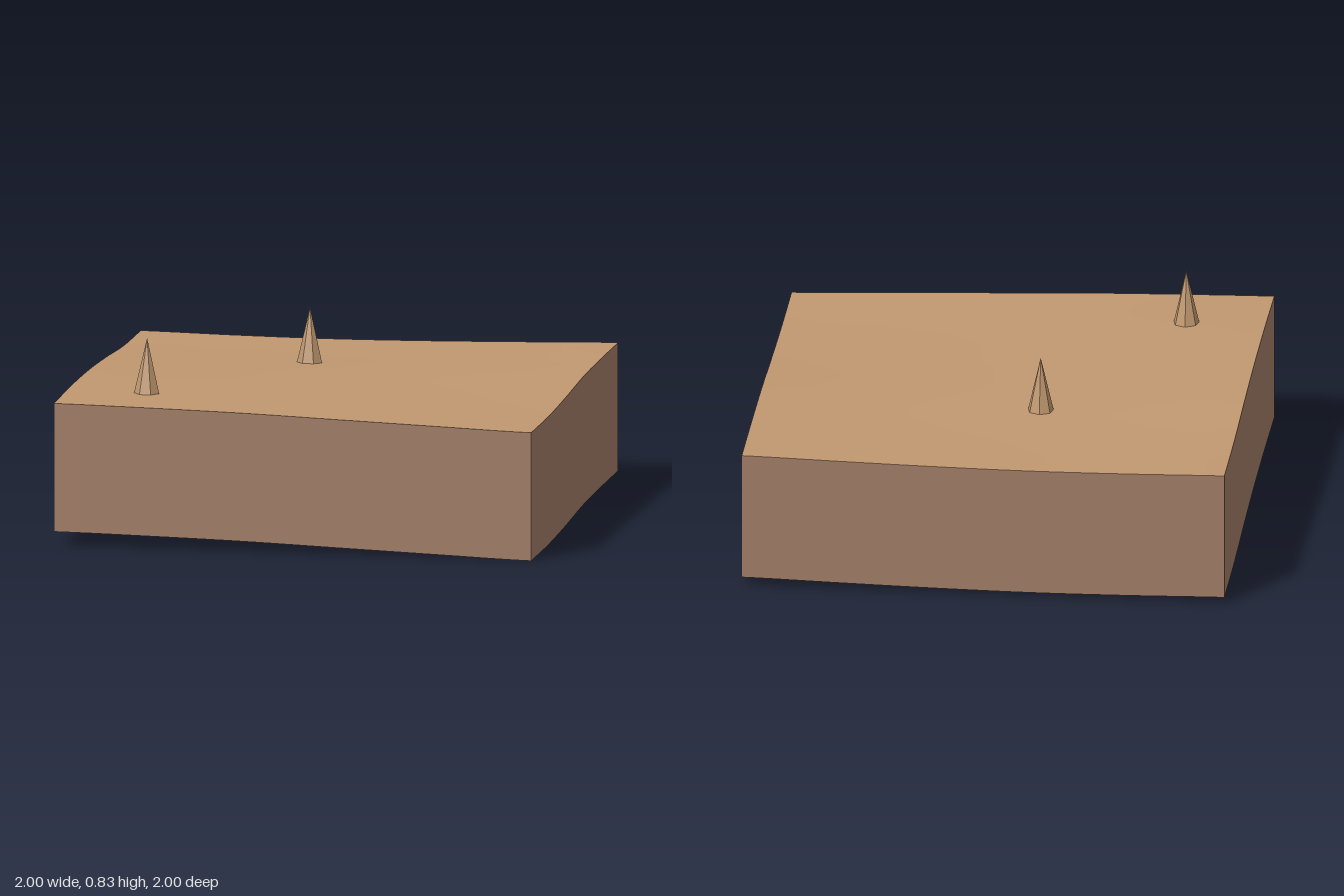
import * as THREE from 'three';

const WALL = 0.536; // wall height, the lower rim follows the upper one

// Heights of the four rims at even steps, from -1 to 1
const spline = (...h) => {
  const curve = new THREE.SplineCurve(h.map((y, i) => new THREE.Vector2(i, y)));
  return (s) => curve.getPoint(THREE.MathUtils.clamp((s + 1) / 2, 0, 1)).y;
};
const rim = {
  front: spline(0.597, 0.59, 0.58, 0.565, 0.55, 0.536),
  back: spline(0.565, 0.558, 0.555, 0.559, 0.567, 0.576),
  left: spline(0.576, 0.575, 0.569, 0.55, 0.537, 0.536),
  right: spline(0.565, 0.568, 0.588, 0.602, 0.604, 0.597),
};

// Ground height, blended between the four rims
function groundHeight(x, z) {
  const { lerp } = THREE.MathUtils;
  const u = (x + 1) / 2, v = (z + 1) / 2;
  const across = lerp(rim.right(z), rim.left(z), u);
  const along = lerp(rim.back(x), rim.front(x), v);
  const corners = lerp(
    lerp(rim.back(-1), rim.back(1), u),
    lerp(rim.front(-1), rim.front(1), u), v);
  return across + along - corners;
}

export function createModel() {
  const group = new THREE.Group();
  const sand = new THREE.MeshStandardMaterial({ color: 0xc09870, side: THREE.DoubleSide });
  sand.name = 'sand';
  const earth = new THREE.MeshStandardMaterial({ color: 0xa07c66, side: THREE.DoubleSide });
  earth.name = 'earth';
  const rock = new THREE.MeshStandardMaterial({ color: 0xc09870, flatShading: true });
  rock.name = 'rock';

  const add = (name, geometry, material) => {
    const mesh = new THREE.Mesh(geometry, material);
    mesh.name = name;
    group.add(mesh);
    return mesh;
  };

  // Gently rolling ground
  const ground = new THREE.PlaneGeometry(2, 2, 32, 32).rotateX(-Math.PI / 2);
  const p = ground.attributes.position;
  for (let i = 0; i < p.count; i++) p.setY(i, groundHeight(p.getX(i), p.getZ(i)));
  ground.computeVertexNormals();
  add('ground', ground, sand);

  // Four side walls, open underneath
  ['front', 'left', 'back', 'right'].forEach((side, k) => {
    const wall = new THREE.PlaneGeometry(2, WALL, 32, 1)
      .translate(0, -WALL / 2, 1)
      .rotateY(k * Math.PI / 2);
    const w = wall.attributes.position;
    for (let i = 0; i < w.count; i++) {
      w.setY(i, w.getY(i) + rim[side](k % 2 ? w.getZ(i) : w.getX(i)));
    }
    add(side + 'Wall', wall, earth);
  });

  // Seven-sided rock spikes
  const spike = new THREE.ConeGeometry(0.054, 0.23, 7).rotateY(Math.PI).translate(0, 0.115, 0);
  [[-0.67, 0.665], [-0.17, -0.335]].forEach(([x, z], i) => {
    add('rockSpike' + (i + 1), spike, rock).position.set(x, groundHeight(x, z), z);
  });

  return group;
}
